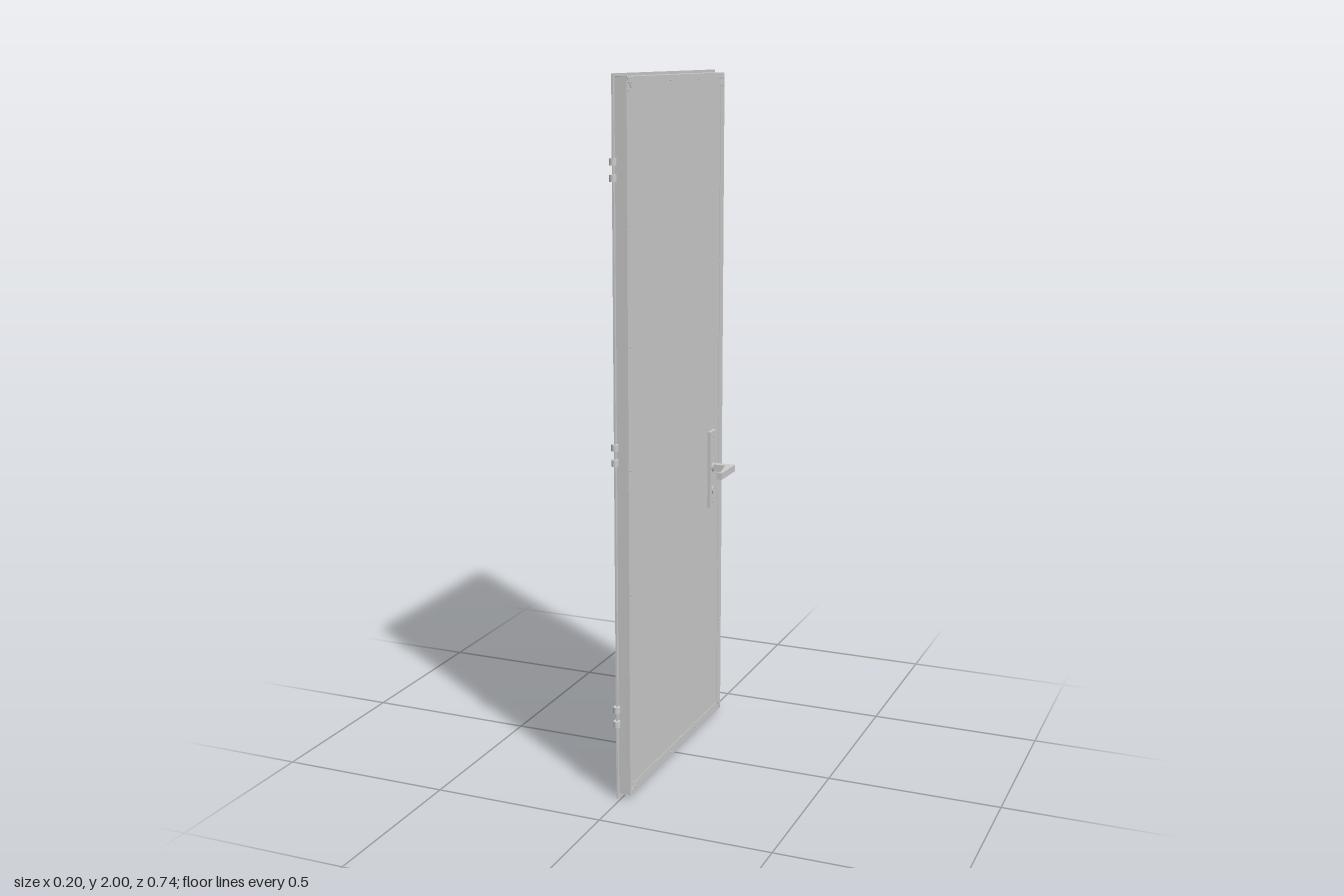
import * as THREE from 'three';

export function createModel() {
  const root = new THREE.Group();
  root.name = 'door';
  const mat = new THREE.MeshStandardMaterial({ color: 0xcccccc });
  const MID = 0.0065, HALF = 0.0195; // leaf centre plane and half thickness
  const add = (name, geo, parent = root) => {
    const m = new THREE.Mesh(geo, mat);
    m.name = name;
    parent.add(m);
    return m;
  };
  const group = (name) => {
    const g = new THREE.Group();
    g.name = name;
    root.add(g);
    return g;
  };
  const shapeOf = (pts) => new THREE.Shape(pts.map(p => new THREE.Vector2(p[0], p[1])));
  const box = (x0, x1, y0, y1, z0, z1) =>
    new THREE.BoxGeometry(x1 - x0, y1 - y0, z1 - z0)
      .translate((x0 + x1) / 2, (y0 + y1) / 2, (z0 + z1) / 2);
  // outline in (z, y), thickness along x
  const slab = (shape, x0, x1) =>
    new THREE.ExtrudeGeometry(shape, { depth: x1 - x0, bevelEnabled: false, curveSegments: 8 })
      .rotateY(-Math.PI / 2).translate(x1, 0, 0);
  // outline in (x, z), thickness along y
  const tread = (shape, y0, y1) =>
    new THREE.ExtrudeGeometry(shape, { depth: y1 - y0, bevelEnabled: false, curveSegments: 8 })
      .rotateX(Math.PI / 2).translate(0, y1, 0);
  // cylinder lying along x between two distances from the centre plane
  const knob = (r, side, d0, d1, y, z, seg = 20) =>
    new THREE.CylinderGeometry(r, r, d1 - d0, seg).rotateZ(Math.PI / 2)
      .translate(MID + side * (d0 + d1) / 2, y, z);

  // Leaf: core sheet with mitred frame bars on each face
  const Z0 = -0.36, Z1 = 0.348, Y0 = 0.01, Y1 = 1.992, W = 0.03;
  add('panel', box(-0.0115, 0.0245, Y0 + 0.001, Y1 - 0.001, Z0 + 0.001, Z1 - 0.001));
  const frame = group('frame');
  const g = 0.0015; // half the open mitre joint
  const upright = [[Z0, Y0 + g], [Z0 + W, Y0 + W + g], [Z0 + W, Y1 - W - g], [Z0, Y1 - g]];
  const rail = [[Z0 + g, Y0], [Z1 - g, Y0], [Z1 - W - g, Y0 + W], [Z0 + W + g, Y0 + W]];
  const flip = (pts, axis, sum) => pts.map(p => p.map((v, i) => (i === axis ? sum - v : v)));
  const bars = [upright, flip(upright, 0, Z0 + Z1), rail, flip(rail, 1, Y0 + Y1)];
  for (const b of bars) add('frameBar', slab(shapeOf(b), MID - HALF, MID + HALF), frame);

  // Overlapping rebate flange round the back face
  const rim = shapeOf([[-0.368, 0], [0.357, 0], [0.357, 2], [-0.368, 2]]);
  rim.holes.push(new THREE.Path([[Z0, Y0], [Z0, Y1], [Z1, Y1], [Z1, Y0]]
    .map(p => new THREE.Vector2(p[0], p[1]))));
  add('flange', slab(rim, -0.013, -0.008));

  // Frame screws on both faces
  const screws = group('screws');
  const spots = [];
  for (const y of [0.31, 0.6, 0.95, 1.29, 1.61]) spots.push([0.335, y], [-0.347, y]);
  for (const y of [0.024, 1.978]) spots.push([0.055, y], [-0.15, y]);
  for (const y of [0.024, 0.045, 1.957, 1.978]) spots.push([0.335, y], [-0.347, y]);
  for (const y of [0.024, 1.978]) spots.push([0.315, y], [-0.322, y]);
  for (const [z, y] of spots)
    for (const s of [1, -1]) add('screw', knob(0.003, s, HALF - 0.001, HALF + 0.002, y, z, 10), screws);

  // Lever handles, one on each face
  for (const s of [1, -1]) {
    const h = group(s > 0 ? 'outerHandle' : 'innerHandle');
    const [a, b] = [MID + s * 0.018, MID + s * 0.0275].sort((p, q) => p - q);
    add('backplate', box(a, b, 0.70, 0.935, -0.29, -0.241), h);
    add('rose', knob(0.014, s, 0.02, 0.033, 0.823, -0.265), h);
    const lever = [[0.028, -0.276], [0.094, -0.276], [0.094, -0.163], [0.078, -0.163],
      [0.078, -0.169], [0.086, -0.172], [0.07, -0.255], [0.028, -0.255]];
    add('lever', tread(shapeOf(lever.map(([d, z]) => [MID + s * d, z])), 0.813, 0.833), h);
    add('lockCylinder', knob(0.012, s, 0.02, 0.031, 0.752, -0.265), h);
    for (const y of [0.715, 0.92]) add('plateScrew', knob(0.004, s, 0.02, 0.029, y, -0.265, 10), h);
  }

  // Thumb turn on the inner plate
  const turn = group('thumbTurn');
  add('turnStem', knob(0.008, -1, 0.03, 0.056, 0.752, -0.265), turn);
  add('turnGrip', box(-0.063, -0.047, 0.73, 0.776, -0.27, -0.26), turn);

  // Latch and bolt on the lock edge
  const lock = group('lock');
  add('lockFace', box(-0.002, 0.02, 0.7, 0.91, -0.3615, -0.35), lock);
  const latch = [[0.002, -0.355], [0.017, -0.355], [0.017, -0.362], [0.002, -0.368]];
  add('latch', tread(shapeOf(latch), 0.845, 0.875), lock);
  add('deadbolt', box(0.002, 0.017, 0.735, 0.77, -0.364, -0.355), lock);

  // Hinges: C-shaped leaf with two barrels, repeated up the edge
  for (const y of [0.245, 0.995, 1.755]) {
    const h = group('hinge');
    const leaf = shapeOf([[0.275, y - 0.03], [0.357, y - 0.03], [0.357, y - 0.012], [0.31, y - 0.012],
      [0.31, y + 0.012], [0.357, y + 0.012], [0.357, y + 0.03], [0.275, y + 0.03]]);
    add('hingeLeaf', slab(leaf, -0.018, -0.012), h);
    for (const d of [-0.021, 0.021])
      add('hingeBarrel', new THREE.CylinderGeometry(0.01, 0.01, 0.018, 20).translate(-0.01, y + d, 0.357), h);
    for (const [dz, dy] of [[0.284, -0.02], [0.284, 0.02], [0.3, -0.021], [0.3, 0.021]])
      add('hingeScrew', knob(0.004, -1, 0.02, 0.0265, y + dy, dz, 10), h);
  }

  // Foot pull: bent strip near the bottom of the inner face
  const pull = group('footPull');
  const strip = [[-0.012, 0.09], [-0.016, 0.09], [-0.016, 0.022], [-0.02, 0.019], [-0.09, 0.012],
    [-0.097, 0.014], [-0.1, 0.028], [-0.103, 0.028], [-0.101, 0.012], [-0.092, 0.008],
    [-0.018, 0.015], [-0.012, 0.019]];
  add('footStrip', new THREE.ExtrudeGeometry(shapeOf(strip), { depth: 0.037, bevelEnabled: false })
    .translate(0, 0, -0.155), pull);
  for (const z of [-0.146, -0.127])
    for (const y of [0.05, 0.078]) add('footScrew', knob(0.005, -1, 0.021, 0.027, y, z, 12), pull);

  return root;
}
